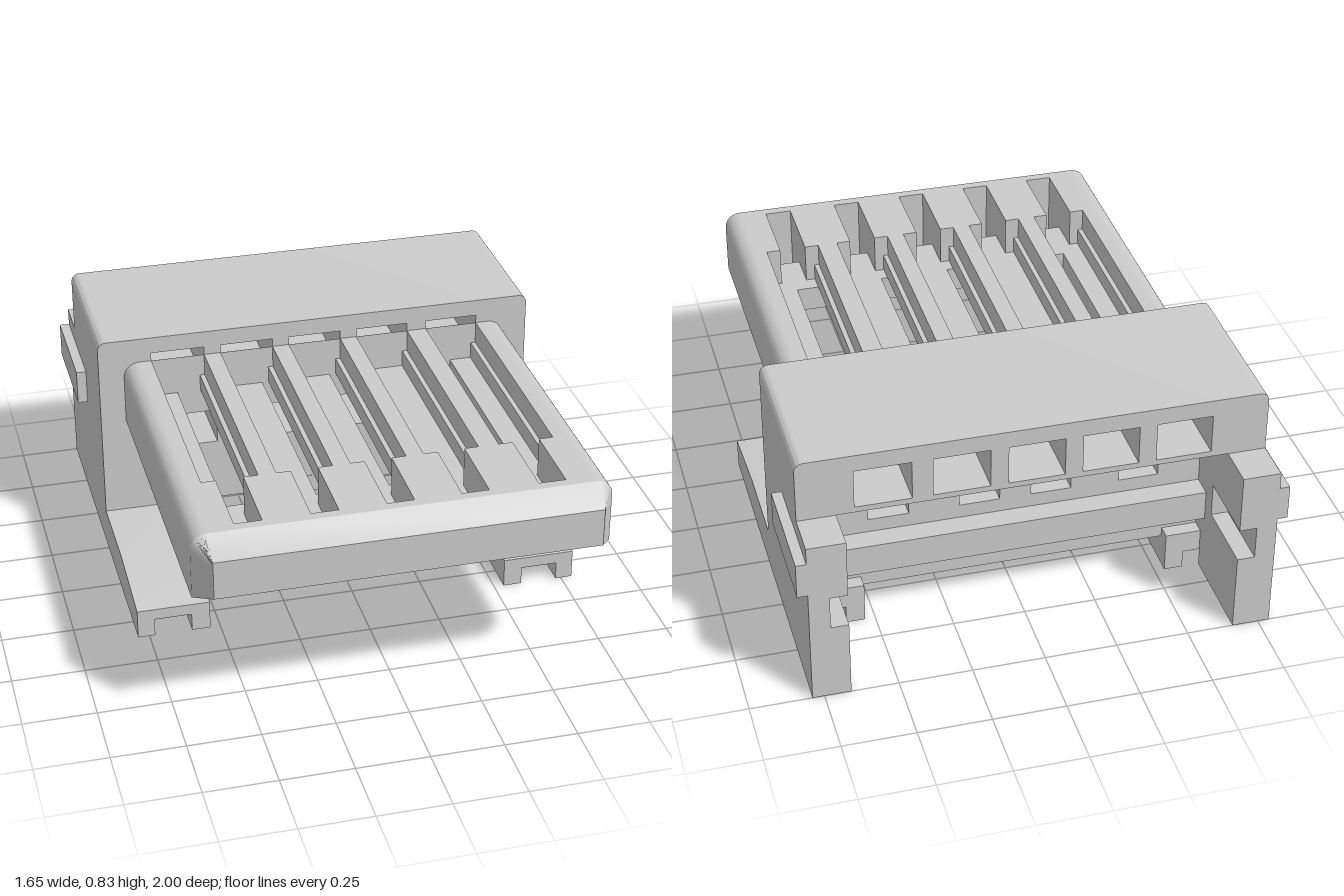
import * as THREE from 'three';
import { toCreasedNormals } from 'three/addons/utils/BufferGeometryUtils.js';

const material = new THREE.MeshStandardMaterial({ color: 0xcccccc });

// Five contact channels on top, four spring windows underneath
const CHANNELS = [-0.505, -0.255, -0.005, 0.245, 0.505];
const WINDOWS = [-0.44, -0.13, 0.12, 0.435];

const polygon = (pts) => new THREE.Shape(pts.map(([x, y]) => new THREE.Vector2(x, y)));
const rect = (x0, x1, y0, y1) => polygon([[x0, y0], [x1, y0], [x1, y1], [x0, y1]]);

// Outline with flat bottom and rounded top corners
function roundedTop(x0, x1, y0, y1, r, roundLeft = true) {
  const s = new THREE.Shape();
  s.moveTo(x0, y0);
  s.lineTo(x1, y0);
  s.lineTo(x1, y1 - r);
  s.absarc(x1 - r, y1 - r, r, 0, Math.PI / 2, false);
  if (roundLeft) s.absarc(x0 + r, y1 - r, r, Math.PI / 2, Math.PI, false);
  else s.lineTo(x0, y1);
  s.closePath();
  return s;
}

const extrude = (shape, depth) =>
  new THREE.ExtrudeGeometry(shape, { depth, bevelEnabled: false, curveSegments: 8 });
// Shape in x,y extruded between two z values
const alongZ = (shape, z0, z1) => extrude(shape, z1 - z0).translate(0, 0, z0);
// Shape in x,-z extruded between two heights
const alongY = (shape, y0, y1) => extrude(shape, y1 - y0).rotateX(-Math.PI / 2).translate(0, y0, 0);
// Shape in -z,y extruded between two x values
const alongX = (shape, x0, x1) => extrude(shape, x1 - x0).rotateY(Math.PI / 2).translate(x0, 0, 0);

export function createModel() {
  const model = new THREE.Group();
  const add = (parent, name, geometry) => {
    const mesh = new THREE.Mesh(toCreasedNormals(geometry, 0.5), material);
    mesh.name = name;
    parent.add(mesh);
    return mesh;
  };
  const box = (parent, name, x0, x1, y0, y1, z0, z1) =>
    add(parent, name, new THREE.BoxGeometry(x1 - x0, y1 - y0, z1 - z0)
      .translate((x0 + x1) / 2, (y0 + y1) / 2, (z0 + z1) / 2));

  // Housing: upper block pierced by the five channels
  const housing = new THREE.Group();
  housing.name = 'housing';
  model.add(housing);
  const block = roundedTop(-0.79, 0.79, 0.61, 0.83, 0.03);
  CHANNELS.forEach((x) => block.holes.push(rect(x - 0.095, x + 0.095, 0.63, 0.77)));
  add(housing, 'upperBlock', alongZ(block, -0.85, -0.27));

  // Front wall pierced by the four windows
  const wall = rect(-0.66, 0.66, 0.145, 0.61);
  WINDOWS.forEach((x) => wall.holes.push(rect(x - 0.07, x + 0.07, 0.38, 0.58)));
  add(housing, 'frontWall', alongZ(wall, -0.6, -0.27));

  // Base of the wall with sloped front edge, and the bar across the back
  add(housing, 'wallBase', alongX(polygon(
    [[0.27, 0.145], [0.36, 0.11], [0.6, 0.11], [0.6, 0.145]]), -0.6, 0.6));
  box(housing, 'rearBar', -0.66, 0.66, 0.22, 0.33, -0.68, -0.6);
  box(housing, 'frontKey', -0.095, 0.095, 0.12, 0.185, -0.36, -0.268);

  // Side parts, mirrored
  for (const s of [1, -1]) {
    const side = new THREE.Group();
    side.name = s > 0 ? 'leftSide' : 'rightSide';
    model.add(side);
    const span = (a, b) => (s > 0 ? [a, b] : [-b, -a]);

    // Side panel and its rear extension with a notch on the inside
    box(side, 'sidePanel', ...span(0.66, 0.79), 0.145, 0.61, -0.65, -0.27);
    const rear = [[0.66, 0], [0.79, 0], [0.79, 0.61], [0.66, 0.61],
      [0.66, 0.4], [0.72, 0.4], [0.72, 0.28], [0.66, 0.28]];
    add(side, 'rearWall', alongZ(polygon(rear.map(([x, y]) => [s * x, y])), -1, -0.74));
    box(side, 'rearWallRoot', ...span(0.66, 0.79), 0, 0.61, -0.74, -0.65);
    box(side, 'sideLug', ...span(0.78, 0.825), 0.425, 0.55, -1, -0.6);

    // Leg with sloping toe and a groove underneath
    add(side, 'leg', alongX(polygon(
      [[-0.35, 0.065], [0.65, 0.065], [0.65, 0.145], [-0.04, 0.145], [-0.35, 0.105]]),
      ...span(0.535, 0.79)));
    box(side, 'innerRunner', ...span(0.535, 0.6), 0, 0.065, -0.65, 0.35);
    box(side, 'outerRunner', ...span(0.73, 0.79), 0, 0.065, -0.65, 0.35);
  }

  // Tongue: stacked layers that leave the channels and windows open
  const tongue = new THREE.Group();
  tongue.name = 'tongue';
  model.add(tongue);
  const floor = rect(-0.62, 0.62, -0.91, 0.27);
  WINDOWS.forEach((x) => floor.holes.push(rect(x - 0.07, x + 0.07, -0.54, 0.269)));
  CHANNELS.forEach((x) => floor.holes.push(rect(x - 0.046, x + 0.046, -0.875, -0.735)));
  add(tongue, 'tongueFloor', alongY(floor, 0.51, 0.6));

  const channelLayer = (name, half, y0, y1) => {
    const layer = rect(-0.62, 0.62, -0.91, 0.27);
    CHANNELS.forEach((x) => layer.holes.push(polygon([
      [x - half, 0.269], [x - half, -0.6], [x - 0.046, -0.6], [x - 0.046, -0.875],
      [x + 0.046, -0.875], [x + 0.046, -0.6], [x + half, -0.6], [x + half, 0.269]])));
    add(tongue, name, alongY(layer, y0, y1));
  };
  channelLayer('channelRibs', 0.078, 0.6, 0.66);
  channelLayer('channelLips', 0.095, 0.66, 0.74);

  // Rounded long edges
  const rail = alongZ(roundedTop(0.62, 0.7, 0.51, 0.74, 0.055, false), -0.27, 0.91);
  add(tongue, 'leftRail', rail);
  add(tongue, 'rightRail', rail.clone().rotateY(Math.PI).translate(0, 0, 0.64));

  // Nose: the tongue outline tapered towards the tip
  const nose = alongZ(roundedTop(-0.7, 0.7, 0.51, 0.74, 0.055), 0.91, 1);
  const p = nose.attributes.position;
  for (let i = 0; i < p.count; i++) {
    if (p.getZ(i) < 0.95) continue;
    p.setX(i, THREE.MathUtils.clamp(p.getX(i), -0.645, 0.645));
    p.setY(i, THREE.MathUtils.mapLinear(p.getY(i), 0.51, 0.74, 0.55, 0.685));
  }
  add(tongue, 'nose', nose);

  return model;
}
